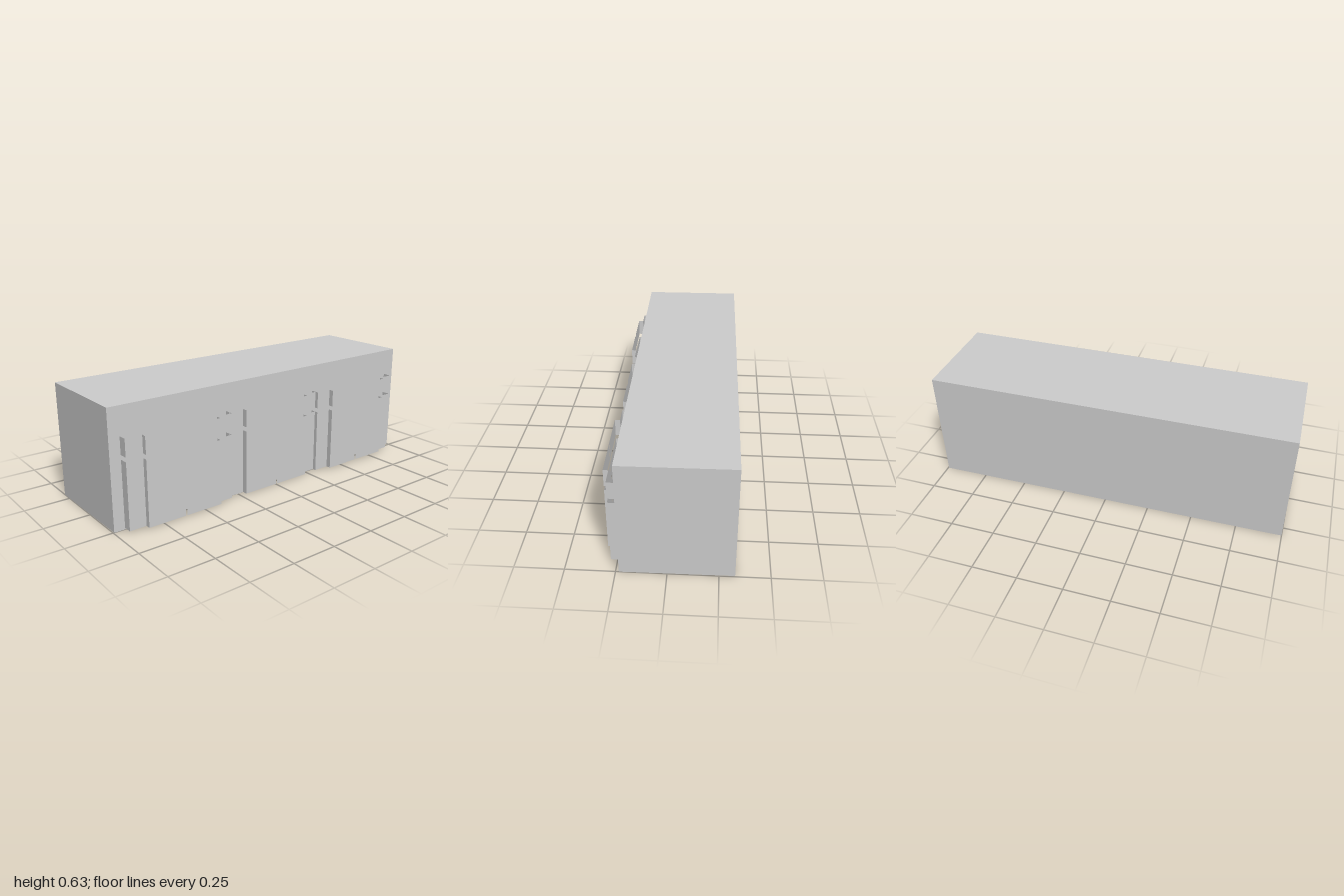
import * as THREE from 'three';

const solid = new THREE.MeshStandardMaterial({ color: 0xcccccc, flatShading: true });
const sheet = new THREE.MeshStandardMaterial({ color: 0xcccccc, flatShading: true, side: THREE.DoubleSide });

const WIDTH = 0.562, HEIGHT = 0.634, LENGTH = 1.995;
const WALL = WIDTH / 2; // x of the facade wall

// Upright folded sheet following a plan profile of [x, z] points
function foldedSheet(profile, y0, y1) {
  const geo = new THREE.PlaneGeometry(1, 1, profile.length - 1, 1);
  const pos = geo.attributes.position;
  profile.forEach(([x, z], i) => {
    pos.setXYZ(i, x, y1, z);
    pos.setXYZ(i + profile.length, x, y0, z);
  });
  geo.computeVertexNormals();
  return geo;
}

// One bay: a stepped pair of thin, open-topped leaves with a slit between them
function makeBay(z, pier, leaf) {
  const bay = new THREE.Group();
  bay.name = 'facadeBay';
  bay.position.set(WALL, 0, z);
  const rows = [['lowerPanel', 0.008, 0.366], ['upperPanel', 0.39, 0.484]];
  for (const [name, y0, y1] of rows) {
    for (const s of [1, -1]) {
      const profile = [[0, 0.311], [pier, 0.311], [pier, 0.218], [leaf, 0.218], [leaf, 0.004]]
        .map(([x, d]) => [x, d * s]);
      if (s < 0) profile.reverse(); // keep faces turned outwards
      const mesh = new THREE.Mesh(foldedSheet(profile, y0, y1), sheet);
      mesh.name = name;
      bay.add(mesh);
    }
  }
  return bay;
}

export function createModel() {
  const model = new THREE.Group();
  model.name = 'building';

  // Everything is turned very slightly about the vertical
  const block = new THREE.Group();
  block.name = 'block';
  block.position.x = -0.038;
  block.rotation.y = 0.009;
  model.add(block);

  // Main body
  const body = new THREE.Mesh(new THREE.BoxGeometry(WIDTH, HEIGHT, LENGTH), solid);
  body.name = 'body';
  body.position.y = HEIGHT / 2;
  block.add(body);

  // Three bays along the facade, the middle one shallower
  block.add(makeBay(0.627, 0.048, 0.075));
  block.add(makeBay(0.007, 0.028, 0.055));
  block.add(makeBay(-0.613, 0.048, 0.075));

  return model;
}
